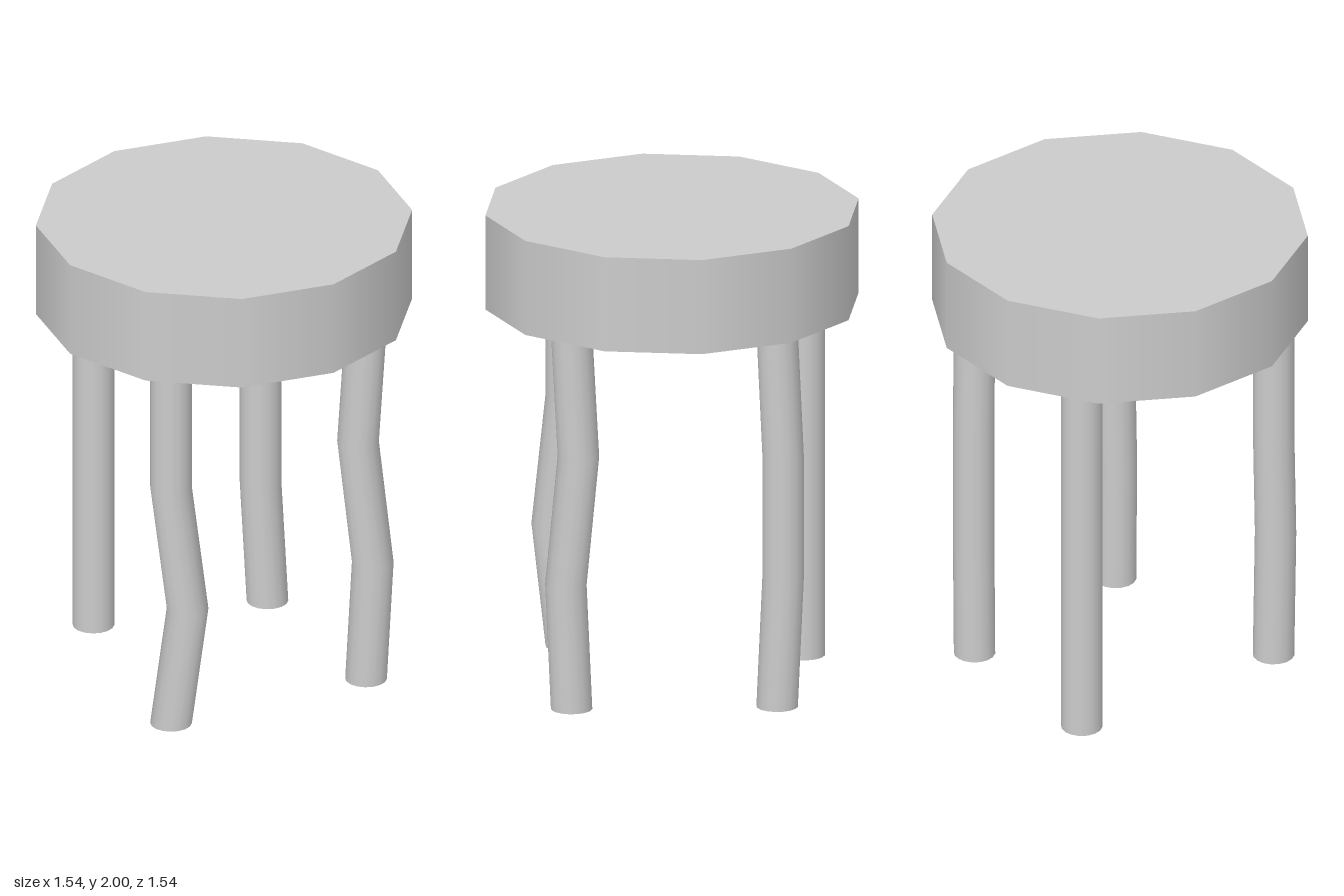
import * as THREE from 'three';

const material = new THREE.MeshStandardMaterial({ color: 0xcccccc });

const SEAT_RADIUS = 0.77, SEAT_HEIGHT = 0.4;
const LEG_RADIUS = 0.085, LEG_HEIGHT = 1.6;

// Upright leg of three equal lengths; lower and upper are the sideways
// shifts of the two joints between them.
function makeLeg(name, x, z, lower = 0, upper = 0) {
  const geometry = new THREE.CylinderGeometry(LEG_RADIUS, LEG_RADIUS, LEG_HEIGHT, 16, 3);
  geometry.translate(0, LEG_HEIGHT / 2, 0);
  const shifts = [0, lower, upper, 0];
  const position = geometry.attributes.position;
  for (let i = 0; i < position.count; i++) {
    const ring = Math.round(position.getY(i) / LEG_HEIGHT * 3);
    position.setX(i, position.getX(i) + shifts[ring]);
  }
  const leg = new THREE.Mesh(geometry, material);
  leg.name = name;
  leg.position.set(x, 0, z);
  return leg;
}

export function createModel() {
  const stool = new THREE.Group();
  stool.name = 'stool';

  // Twelve-sided seat
  const seat = new THREE.Mesh(
    new THREE.CylinderGeometry(SEAT_RADIUS, SEAT_RADIUS, SEAT_HEIGHT, 12), material);
  seat.name = 'seat';
  seat.position.y = LEG_HEIGHT + SEAT_HEIGHT / 2;
  stool.add(seat);

  // One straight leg and three crooked ones
  stool.add(
    makeLeg('rightLeg', -0.624, -0.086),
    makeLeg('frontLeg', 0.048, 0.624, 0.074, 0),
    makeLeg('leftLeg', 0.597, -0.086, 0.03, -0.036),
    makeLeg('backLeg', -0.074, -0.588, -0.031, -0.031),
  );
  return stool;
}
